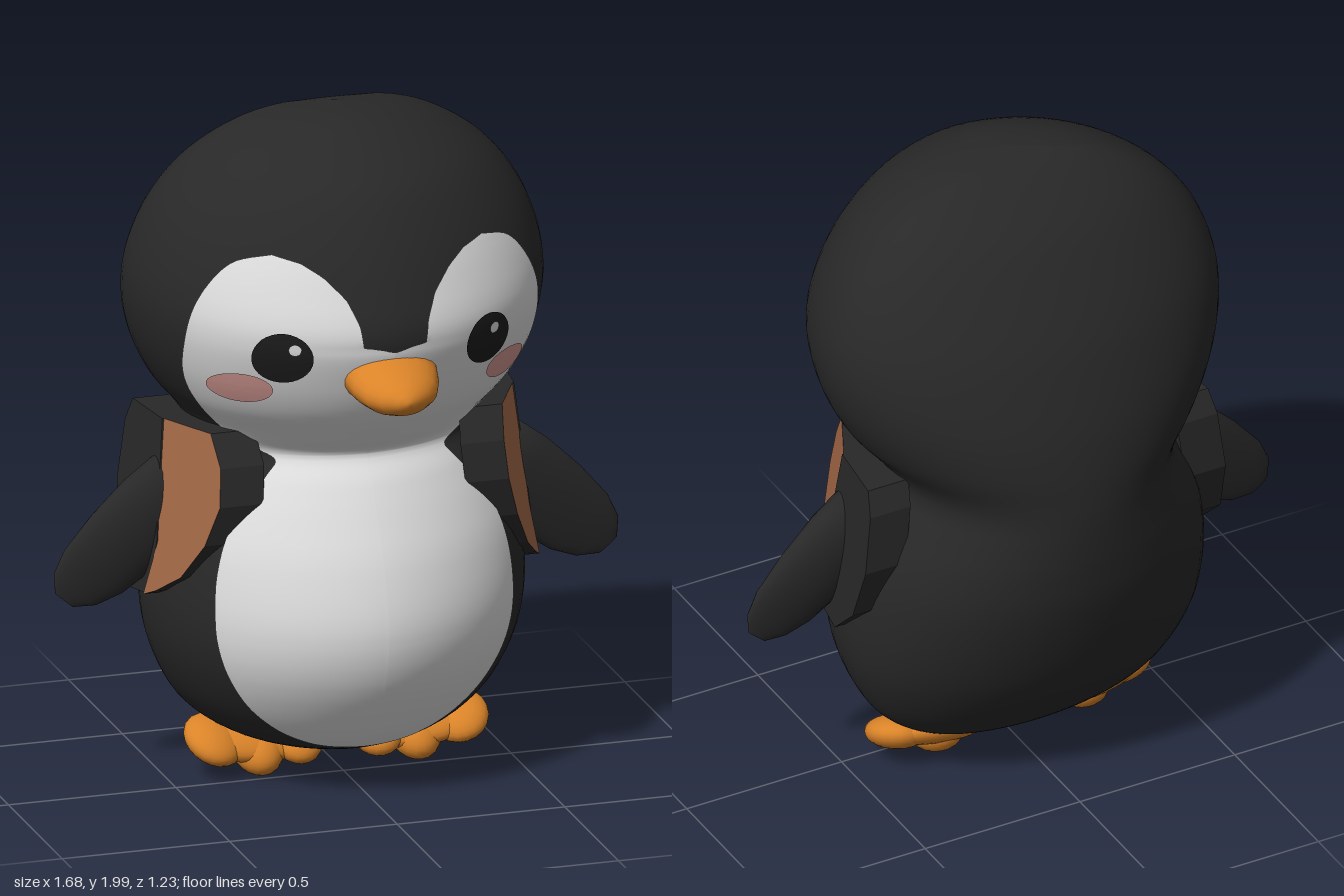
import * as THREE from 'three';

const mat = (name, color) => new THREE.MeshStandardMaterial({ name, color });
const M = {
  black: mat('charcoal plumage', 0x282828),
  white: mat('white plumage', 0xdedede),
  orange: mat('orange', 0xdb8429),
  brown: mat('brown lining', 0xa36847),
  pink: mat('cheek pink', 0xd59a94),
  eye: mat('eye black', 0x1c1c1c),
};
const V = (x, y, z) => new THREE.Vector3(x, y, z);

function add(parent, name, geometry, material) {
  const mesh = new THREE.Mesh(geometry, material);
  mesh.name = name;
  parent.add(mesh);
  return mesh;
}

// Closed skin over rings of points, with a fan at both ends
function loft(rings) {
  const n = rings[0].length, pos = [], idx = [];
  rings.forEach(r => r.forEach(p => pos.push(p.x, p.y, p.z)));
  for (let i = 0; i < rings.length - 1; i++) {
    for (let j = 0; j < n; j++) {
      const a = i * n + j, b = i * n + (j + 1) % n;
      idx.push(a, b, b + n, a, b + n, a + n);
    }
  }
  [0, rings.length - 1].forEach(i => {
    const c = rings[i].reduce((s, p) => s.add(p), V(0, 0, 0)).divideScalar(n);
    const k = pos.length / 3;
    pos.push(c.x, c.y, c.z);
    for (let j = 0; j < n; j++) {
      const a = i * n + j, b = i * n + (j + 1) % n;
      i ? idx.push(k, a, b) : idx.push(k, b, a);
    }
  });
  const g = new THREE.BufferGeometry();
  g.setAttribute('position', new THREE.Float32BufferAttribute(pos, 3));
  g.setIndex(idx);
  g.computeVertexNormals();
  return g;
}

const ring = (c, a, b, n) => Array.from({ length: n }, (_, j) => {
  const t = j / n * Math.PI * 2;
  return c.clone().addScaledVector(a, Math.cos(t)).addScaledVector(b, Math.sin(t));
});

// Body profile: height, half width, front z, back z
const PROFILE = [
  [0.07, 0, -0.1, -0.1], [0.09, 0.18, 0.05, -0.17], [0.15, 0.34, 0.2, -0.26], [0.25, 0.46, 0.3, -0.36],
  [0.4, 0.535, 0.393, -0.46], [0.55, 0.56, 0.42, -0.525], [0.72, 0.55, 0.38, -0.578], [0.85, 0.515, 0.32, -0.6],
  [0.95, 0.465, 0.265, -0.61], [1.03, 0.43, 0.215, -0.615], [1.1, 0.445, 0.285, -0.615], [1.2, 0.525, 0.385, -0.608],
  [1.32, 0.585, 0.45, -0.588], [1.45, 0.612, 0.487, -0.55], [1.58, 0.6, 0.45, -0.5], [1.72, 0.545, 0.385, -0.42],
  [1.84, 0.45, 0.3, -0.335], [1.93, 0.32, 0.175, -0.235], [1.98, 0.18, 0.065, -0.15], [2, 0, -0.06, -0.06],
];
const front = new THREE.CatmullRomCurve3(PROFILE.map(p => V(p[1], p[0], p[2])), false, 'catmullrom', 0.5);
const back = new THREE.CatmullRomCurve3(PROFILE.map(p => V(0, p[0], p[3])), false, 'catmullrom', 0.5);
// Rows: height, half width, front z, back z, z of the widest point
const ROWS = Array.from({ length: 96 }, (_, i) => {
  const f = front.getPoint(i / 95), b = back.getPoint(i / 95);
  return [f.y, Math.max(f.x, 0), f.z, b.z, THREE.MathUtils.clamp(-0.12, b.z, f.z)];
});

// Linear lookup of a column in a table sorted by its first column
function lookup(table, y, col) {
  let i = 1;
  while (i < table.length - 1 && table[i][0] < y) i++;
  const a = table[i - 1], b = table[i];
  return THREE.MathUtils.lerp(a[col], b[col], THREE.MathUtils.clamp((y - a[0]) / (b[0] - a[0]), 0, 1));
}

// Front half of a section: slightly more pointed than an ellipse
const bulge = s => Math.pow(Math.max(0, 1 - Math.pow(Math.abs(s), 1.85)), 1 / 1.85);

function bodyGeometry() {
  return loft(ROWS.map(([y, w, zf, zb, zc]) => Array.from({ length: 64 }, (_, j) => {
    const t = j / 64 * Math.PI * 2, s = Math.sin(t), c = Math.cos(t);
    return V(w * s, y, c > 0 ? zc + (zf - zc) * bulge(s) : zc + (zc - zb) * c);
  })));
}

// Front surface of the body, and points lifted a little above it
function frontZ(x, y) {
  const zc = lookup(ROWS, y, 4);
  return zc + (lookup(ROWS, y, 2) - zc) * bulge(x / lookup(ROWS, y, 1));
}
function lifted(x, y, lift) {
  const e = 0.004, z = frontZ(x, y);
  const n = V(frontZ(x - e, y) - frontZ(x + e, y), frontZ(x, y - e) - frontZ(x, y + e), 2 * e).normalize();
  return V(x, y, z).addScaledVector(n, lift);
}
function drape(g, map, lift) {
  const p = g.attributes.position, uv = g.attributes.uv;
  for (let i = 0; i < p.count; i++) {
    const [x, y] = map(p.getX(i), p.getY(i), uv.getX(i), uv.getY(i));
    const q = lifted(x, y, lift);
    p.setXYZ(i, q.x, q.y, q.z);
  }
  g.computeVertexNormals();
  return g;
}
const spot = (cx, cy, rx, ry, lift) =>
  drape(new THREE.RingGeometry(0, 1, 32, 4), (x, y) => [cx + x * rx, cy + y * ry], lift);

// Outline of the white plumage on one half
const OUTER = new THREE.SplineCurve([
  [0, 0.148], [0.1, 0.155], [0.18, 0.178], [0.265, 0.225], [0.345, 0.3], [0.405, 0.4], [0.435, 0.5], [0.44, 0.6],
  [0.43, 0.7], [0.4, 0.8], [0.34, 0.9], [0.28, 0.97], [0.25, 1.01], [0.29, 1.04], [0.37, 1.09], [0.46, 1.19],
  [0.51, 1.29], [0.522, 1.4], [0.508, 1.5], [0.463, 1.59], [0.4, 1.655], [0.31, 1.683],
].map(p => new THREE.Vector2(...p)));
const INNER = [[0, 0], [1.42, 0], [1.43, 0.09], [1.5, 0.1], [1.57, 0.13], [1.63, 0.185], [1.665, 0.24], [1.683, 0.31]];

function whiteGeometry() {
  return drape(new THREE.PlaneGeometry(1, 1, 24, 110), (_x, _y, u, v) => {
    const o = OUTER.getPoint(v);
    return [THREE.MathUtils.lerp(Math.min(lookup(INNER, o.y, 1), o.x), o.x, u), o.y];
  }, 0.006);
}

// Slab on the side of the body, outlined in (z, y), with its outer face at x = face(z, y)
function slab(points, face) {
  const shape = new THREE.Shape(points.map(p => new THREE.Vector2(...p)));
  const g = new THREE.ExtrudeGeometry(shape, { depth: 0.13, bevelEnabled: false });
  const p = g.attributes.position;
  for (let i = 0; i < p.count; i++) {
    const z = p.getX(i), y = p.getY(i), d = p.getZ(i);
    p.setXYZ(i, face(z, y) - d, y, z);
  }
  g.computeVertexNormals();
  return g;
}

function createSide() {
  const side = new THREE.Group();
  add(side, 'whitePlumage', whiteGeometry(), M.white);
  add(side, 'cheek', spot(0.388, 1.288, 0.075, 0.049, 0.011), M.pink);
  add(side, 'eye', spot(0.3, 1.4, 0.076, 0.076, 0.012), M.eye);

  // Shoulder pad: brown lined front half, dark rear half
  add(side, 'shoulderLining', slab(
    [[-0.05, 1.1], [-0.025, 0.92], [0, 0.75], [-0.02, 0.59], [0.02, 0.61], [0.1, 0.67], [0.165, 0.78], [0.195, 0.9], [0.175, 1.01], [0.12, 1.1]],
    (z, y) => 0.52 - 0.5 * (z + 0.05) + 0.17 * (1.1 - y)), [M.brown, M.black]);
  add(side, 'shoulderPad', slab(
    [[-0.25, 1.1], [-0.285, 1.03], [-0.295, 0.85], [-0.24, 0.68], [-0.13, 0.575], [-0.02, 0.59], [0, 0.75], [-0.025, 0.92], [-0.05, 1.1]],
    (z, y) => 0.525 - 0.12 * (z + 0.05) + 0.11 * (1.1 - y)), M.black);

  // Flipper: centre x, centre y, half width, half thickness
  add(side, 'flipper', loft([
    [0.43, 0.92, 0.12, 0.07], [0.53, 0.835, 0.13, 0.064], [0.63, 0.74, 0.13, 0.048], [0.725, 0.655, 0.113, 0.029],
    [0.78, 0.607, 0.082, 0.015], [0.812, 0.578, 0.035, 0.006],
  ].map(([x, y, w, t]) => ring(V(x, y, -0.07), V(0.76 * w, 0.65 * w, 0), V(0, 0, t), 24))), M.black);

  // Foot: a broad pad and three toes, tipped forward
  const foot = new THREE.Group();
  foot.name = 'foot';
  [
    ['footPad', 0.25, 0.108, -0.095, 0.18, 0.05, 0.105, 0.12],
    ['outerToe', 0.365, 0.112, -0.075, 0.088, 0.05, 0.1, 0.25],
    ['middleToe', 0.235, 0.077, -0.075, 0.075, 0.062, 0.1, 0],
    ['innerToe', 0.12, 0.09, -0.07, 0.075, 0.048, 0.09, 0.1],
  ].forEach(([name, x, y, z, rx, ry, rz, tilt]) => {
    const toe = add(foot, name, new THREE.SphereGeometry(1, 20, 14), M.orange);
    toe.position.set(x, y, z);
    toe.scale.set(rx, ry, rz);
    toe.rotation.set(0.45, 0, tilt);
  });
  side.add(foot);
  return side;
}

export function createModel() {
  const model = new THREE.Group();
  model.name = 'penguin';
  add(model, 'body', bodyGeometry(), M.black);

  // Beak: z, half width, centre y, half height
  add(model, 'beak', loft([
    [0.34, 0.12, 1.33, 0.08], [0.43, 0.14, 1.338, 0.094], [0.49, 0.128, 1.32, 0.076], [0.54, 0.108, 1.308, 0.062],
    [0.58, 0.075, 1.304, 0.046], [0.605, 0.035, 1.303, 0.024], [0.613, 0.01, 1.303, 0.008],
  ].map(([z, w, y, h]) => ring(V(0, y, z), V(w, 0, 0), V(0, h, 0), 24))), M.orange);

  // Mirrored halves
  const left = createSide(), right = createSide();
  left.name = 'leftSide';
  right.name = 'rightSide';
  right.scale.x = -1;
  model.add(left, right);

  // Eye glints
  [-0.272, 0.316].forEach(x => add(model, 'eyeGlint', spot(x, 1.432, 0.016, 0.016, 0.016), M.white));
  return model;
}
